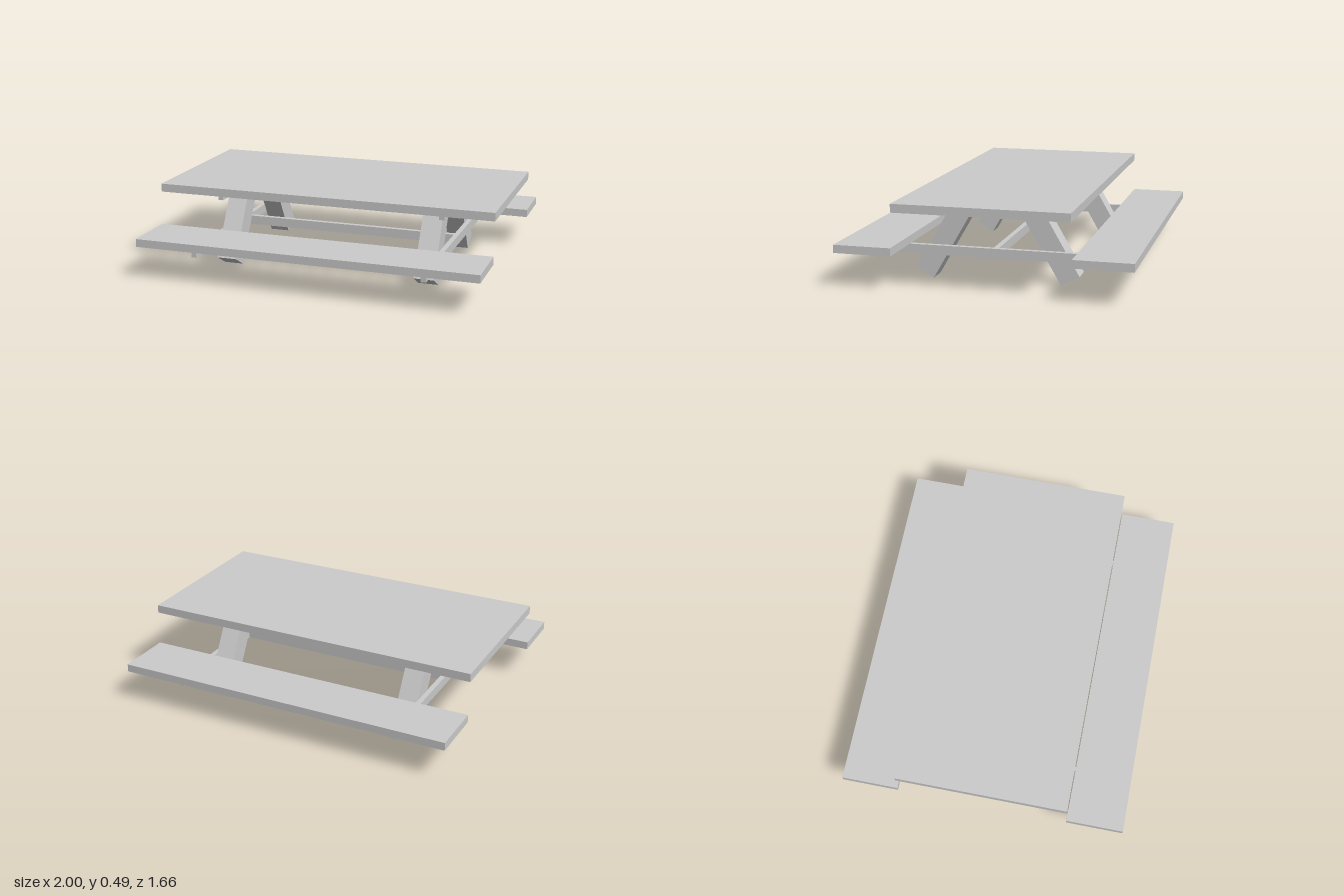
import * as THREE from 'three';

export function createModel() {
  const group = new THREE.Group();
  const material = new THREE.MeshStandardMaterial({ color: 0xcccccc, flatShading: true });

  const board = (name, w, h, d, x, y, z) => {
    const mesh = new THREE.Mesh(new THREE.BoxGeometry(w, h, d), material);
    mesh.name = name;
    mesh.position.set(x, y, z);
    group.add(mesh);
    return mesh;
  };

  // Horizontal slabs
  board('tabletop', 2, 0.048, 0.988, 0, 0.464, 0);
  for (const side of [1, -1]) board('benchSeat', 2, 0.046, 0.33, 0, 0.22, side * 0.665);

  // Lengthwise brace joining the two leg frames
  board('centreBrace', 1.32, 0.054, 0.03, 0, 0.17, 0);

  // Leg frames: table cleat, bench beam and two splayed legs at each end
  const tilt = Math.PI / 6, legLength = 0.49, legWidth = 0.118;
  const footZ = 0.421, footY = 0.03;
  for (const end of [1, -1]) {
    board('tableCleat', 0.03, 0.056, 0.75, end * 0.675, 0.413, 0);
    board('benchBeam', 0.03, 0.054, 1.51, end * 0.675, 0.17, 0);
    for (const side of [1, -1]) {
      const leg = board('leg', legWidth, legLength, legWidth, end * 0.602,
        footY + Math.cos(tilt) * legLength / 2,
        side * (footZ - Math.sin(tilt) * legLength / 2));
      leg.rotation.x = -side * tilt;
    }
  }
  return group;
}
